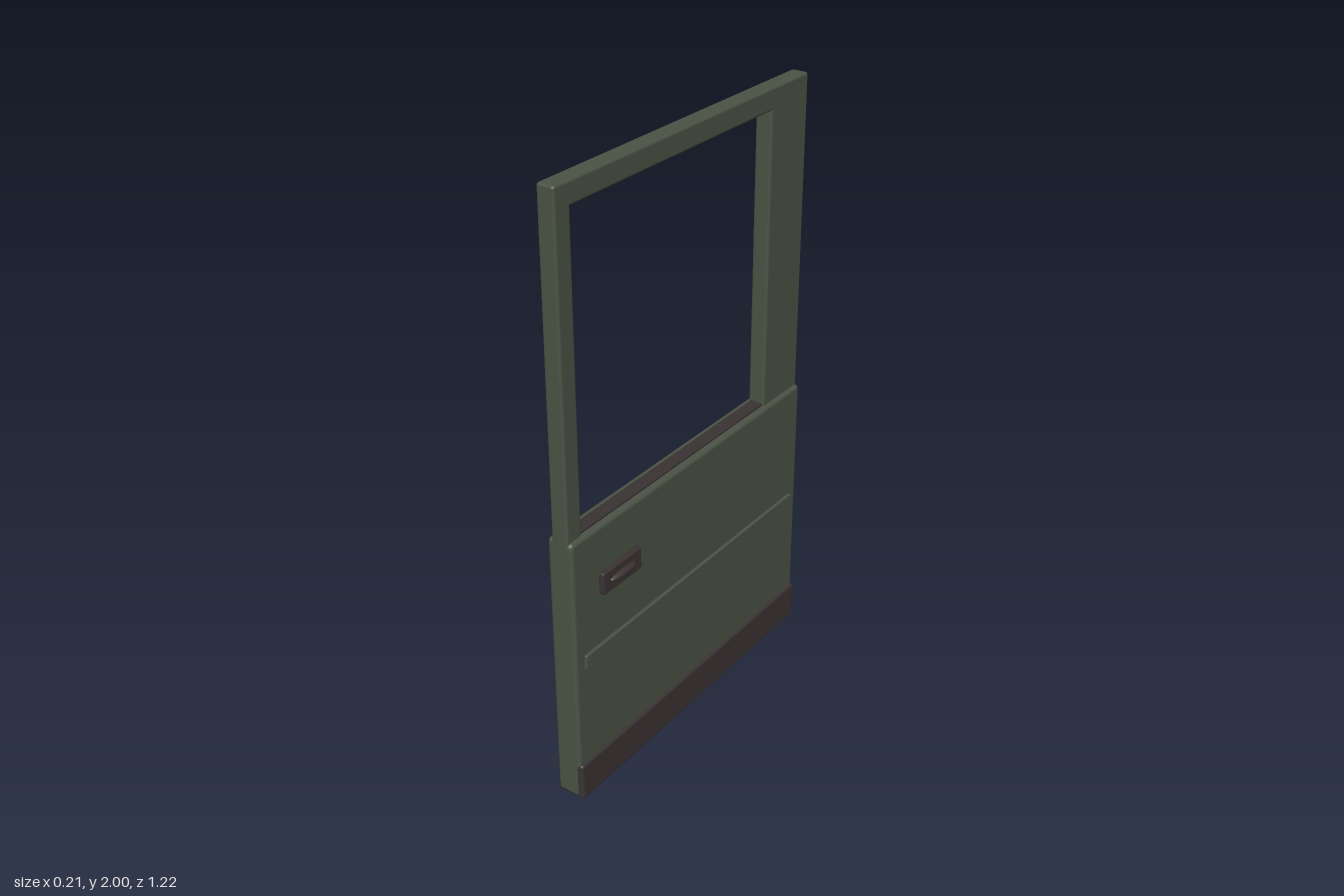
import * as THREE from 'three';
import { RoundedBoxGeometry } from 'three/addons/geometries/RoundedBoxGeometry.js';

export function createModel() {
  const door = new THREE.Group();
  door.name = 'door';
  const paint = new THREE.MeshStandardMaterial({ color: 0x4b5345 });
  paint.name = 'olive paint';
  const trim = new THREE.MeshStandardMaterial({ color: 0x3b3333 });
  trim.name = 'dark trim';

  const add = (name, geometry, material) => {
    const mesh = new THREE.Mesh(geometry, material);
    mesh.name = name;
    door.add(mesh);
    return mesh;
  };
  // Rounded block given by its limits on each axis
  const block = (name, material, [x0, x1], [y0, y1], [z0, z1], radius) =>
    add(name, new RoundedBoxGeometry(x1 - x0, y1 - y0, z1 - z0, 2, radius), material)
      .position.set((x0 + x1) / 2, (y0 + y1) / 2, (z0 + z1) / 2);

  // Lower door shell and the wraparound sill guard
  block('lowerPanel', paint, [-0.02, 0.07], [0.003, 0.935], [-0.61, 0.61], 0.014);
  block('sillGuard', trim, [-0.019, 0.08], [0, 0.133], [-0.609, 0.609], 0.01);

  // Window frame: front post, wide rear post and top rail
  const frameX = [-0.003, 0.056];
  block('frontPost', paint, frameX, [0.9, 2], [0.544, 0.61], 0.009);
  block('rearPost', paint, frameX, [0.9, 2], [-0.61, -0.408], 0.009);
  block('topRail', paint, frameX, [1.928, 2], [-0.61, 0.61], 0.009);
  block('windowSeal', trim, [0.005, 0.05], [0.92, 0.943], [-0.412, 0.548], 0.004);

  // Outer rubbing strip and door handle
  block('rubbingStrip', paint, [0.06, 0.08], [0.48, 0.53], [-0.565, 0.57], 0.004);
  block('handlePlate', trim, [0.06, 0.088], [0.705, 0.78], [0.305, 0.49], 0.005);
  const grip = add('handleGrip', new THREE.SphereGeometry(1, 24, 12), trim);
  grip.scale.set(0.018, 0.014, 0.063);
  grip.position.set(0.087, 0.743, 0.398);

  // Inner trim card
  block('trimCard', trim, [-0.038, -0.015], [0.085, 0.86], [-0.565, 0.565], 0.005);

  // Tapered armrest
  const profile = [[0, -0.285], [0.025, -0.21], [0.029, -0.1], [0.031, 0],
    [0.029, 0.1], [0.025, 0.21], [0, 0.285]].map(([r, y]) => new THREE.Vector2(r, y));
  const armrestShape = new THREE.LatheGeometry(profile, 16);
  armrestShape.rotateX(Math.PI / 2);
  const armrest = add('armrest', armrestShape, trim);
  armrest.scale.y = 0.8;
  armrest.position.set(-0.074, 0.636, 0.06);

  // Round speaker cover
  const cover = new THREE.CylinderGeometry(0.091, 0.091, 0.014, 32);
  cover.rotateZ(Math.PI / 2);
  add('speakerCover', cover, trim).position.set(-0.043, 0.265, -0.188);

  return door;
}
